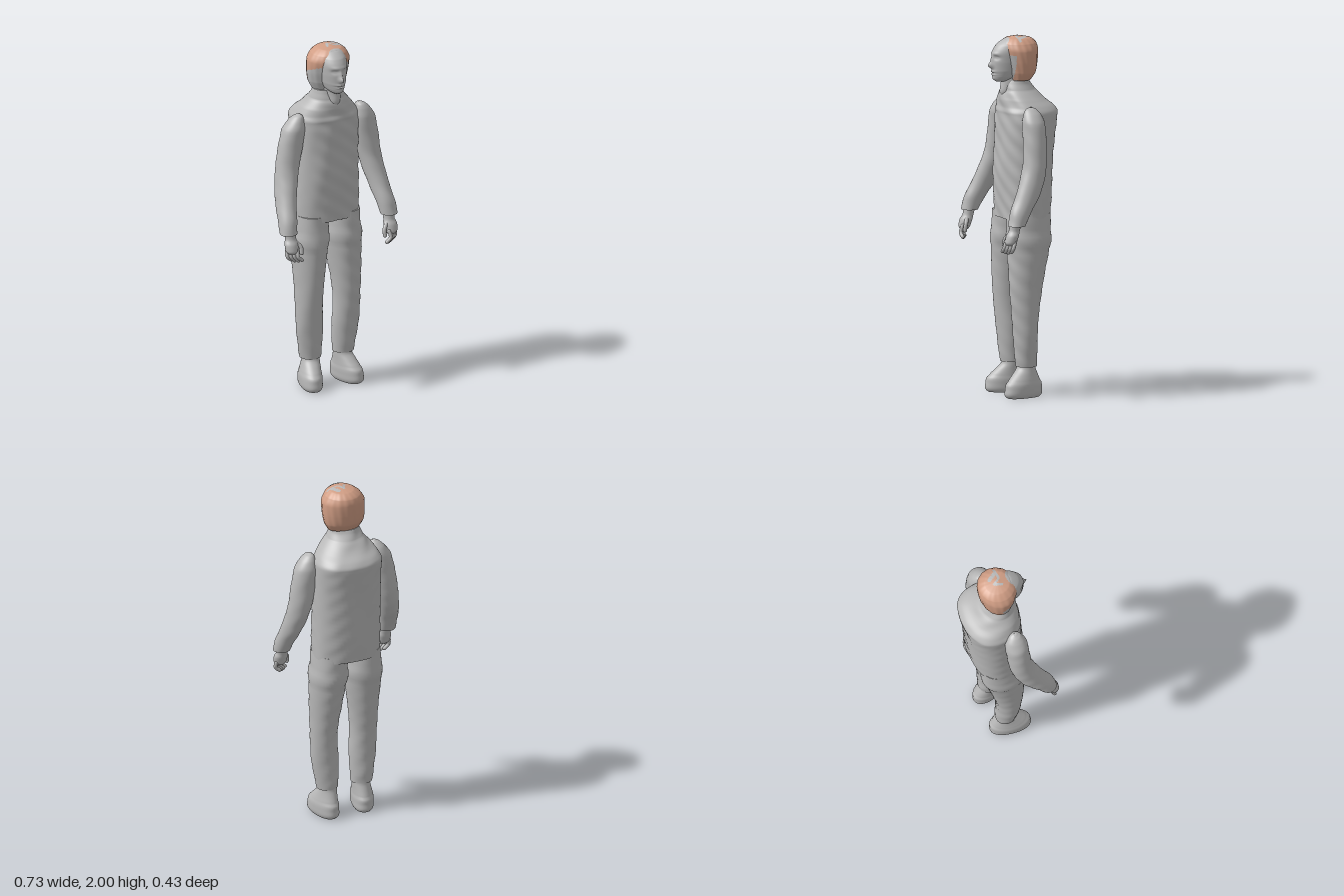
import * as THREE from 'three';

const grey = new THREE.MeshStandardMaterial({ color: 0xb8b8b8 });
grey.name = 'plain grey';
const tan = new THREE.MeshStandardMaterial({ color: 0xd09d84 });
tan.name = 'hair tan';

// Smooth body through horizontal sections [y, cx, cz, rx, rz, power], bottom to top.
// deform moves each vertex, pick chooses the material slot of each triangle.
function loft(name, sections, { n = 40, steps = 5, deform, pick } = {}) {
  const centres = new THREE.CatmullRomCurve3(sections.map(s => new THREE.Vector3(s[1], s[0], s[2])));
  const sizes = new THREE.CatmullRomCurve3(sections.map(s => new THREE.Vector3(s[3], s[4], s[5] ?? 2)));
  const rows = (sections.length - 1) * steps;
  const pts = [];
  for (let i = 0; i <= rows; i++) {
    const c = centres.getPoint(i / rows), r = sizes.getPoint(i / rows);
    for (let j = 0; j < n; j++) {
      const a = (j / n) * Math.PI * 2, s = Math.sin(a), k = Math.cos(a), e = 2 / r.z;
      const v = new THREE.Vector3(
        c.x + r.x * Math.sign(s) * Math.abs(s) ** e, c.y,
        c.z + r.y * Math.sign(k) * Math.abs(k) ** e);
      if (deform) deform(v, a);
      pts.push(v);
    }
  }
  const slots = [[], []];
  const tri = (a, b, c) => {
    const m = pts[a].clone().add(pts[b]).add(pts[c]).divideScalar(3);
    slots[pick ? pick(m) : 0].push(a, b, c);
  };
  for (let i = 0; i < rows; i++) {
    for (let j = 0; j < n; j++) {
      const k = (j + 1) % n, a = i * n + j, b = i * n + k;
      tri(a, b, a + n);
      tri(b, b + n, a + n);
    }
  }
  // End caps have their own rings so the hems stay sharp
  for (const [row, top] of [[0, false], [rows, true]]) {
    const ring = pts.slice(row * n, row * n + n);
    const base = pts.length;
    const mid = new THREE.Vector3();
    ring.forEach(p => { mid.addScaledVector(p, 1 / n); pts.push(p.clone()); });
    pts.push(mid);
    for (let j = 0; j < n; j++) {
      const a = base + j, b = base + (j + 1) % n;
      if (top) tri(a, b, base + n); else tri(b, a, base + n);
    }
  }
  const g = new THREE.BufferGeometry().setFromPoints(pts);
  g.setIndex([...slots[0], ...slots[1]]);
  g.addGroup(0, slots[0].length, 0);
  g.addGroup(slots[0].length, slots[1].length, 1);
  g.computeVertexNormals();
  const mesh = new THREE.Mesh(g, pick ? [grey, tan] : grey);
  mesh.name = name;
  return mesh;
}

// Soft cloth unevenness
const cloth = amount => v => {
  const w = Math.sin(v.x * 41 + v.y * 23) * Math.sin(v.y * 37 - v.z * 31) + 0.5 * Math.sin(v.y * 61 + v.x * 53);
  v.x += w * amount * 0.5;
  v.z += w * amount;
};

const bump = (x, y, sx, sy) => Math.exp(-((x / sx) ** 2) - (y / sy) ** 2);

// Brow, eyes, nose, lips and chin
function faceShape(v) {
  if (v.z < 0.06) return;
  const x = v.x - 0.01, y = v.y, ax = Math.abs(x);
  v.z += 0.024 * bump(x, y - 1.838, 0.013, 0.016) + 0.012 * bump(x, y - 1.868, 0.01, 0.025)
    - 0.011 * bump(ax - 0.03, y - 1.884, 0.017, 0.011)
    + 0.005 * bump(ax - 0.03, y - 1.883, 0.009, 0.005)
    + 0.005 * bump(ax - 0.025, y - 1.905, 0.025, 0.009)
    + 0.007 * bump(x, y - 1.806, 0.022, 0.006) + 0.006 * bump(x, y - 1.789, 0.02, 0.006)
    - 0.005 * bump(x, y - 1.797, 0.026, 0.003)
    + 0.005 * bump(x, y - 1.768, 0.018, 0.01);
}

// Distance in plan from a point to a streak
function streak(p, x1, z1, x2, z2) {
  const dx = x2 - x1, dz = z2 - z1;
  const t = THREE.MathUtils.clamp(((p.x - x1) * dx + (p.z - z1) * dz) / (dx * dx + dz * dz), 0, 1);
  return Math.hypot(p.x - x1 - t * dx, p.z - z1 - t * dz);
}

// Bare patches of the crown, forehead and side locks
function hairSlot(p) {
  if (p.y > 1.95) {
    if (streak(p, -0.003, 0.015, 0.015, -0.025) < 0.007) return 0;
    if (streak(p, 0.015, -0.025, 0.035, 0.012) < 0.006) return 0;
    if (streak(p, 0.05, -0.035, 0.075, 0.012) < 0.011) return 0;
    if (streak(p, 0.04, 0.015, 0.095, 0.015) < 0.007) return 0;
  }
  if (Math.hypot((p.x - 0.018) / 0.045, (p.z - 0.08) / 0.027) < 1) return 0;
  if (p.x < 0 && p.y < 1.87 + p.z * 0.4 && p.z > -0.035 + 0.012 * Math.sin(p.y * 90)) return 0;
  if (p.x > 0 && p.y < 1.9 && p.z > 0.045) return 0;
  return 1;
}

function finger(points, r) {
  const g = new THREE.Group();
  const curve = new THREE.CatmullRomCurve3(points.map(p => new THREE.Vector3(...p)));
  g.add(new THREE.Mesh(new THREE.TubeGeometry(curve, 10, r, 10), grey));
  for (const t of [0, 1]) {
    const end = new THREE.Mesh(new THREE.SphereGeometry(r, 10, 8), grey);
    end.position.copy(curve.getPoint(t));
    g.add(end);
  }
  g.name = 'finger';
  return g;
}

function arm(s) {
  const shift = s > 0 ? 0.03 : 0;
  const g = new THREE.Group();
  g.name = s > 0 ? 'leftArm' : 'rightArm';
  g.add(loft('sleeve', [
    [0.99, 0.317, 0.137, 0.049, 0.047], [1.06, 0.308, 0.11, 0.052, 0.06],
    [1.15, 0.29, 0.06, 0.056, 0.068], [1.23, 0.272, 0.028, 0.061, 0.07],
    [1.32, 0.252, 0.005, 0.066, 0.066], [1.45, 0.225, -0.002, 0.07, 0.064],
    [1.54, 0.207, -0.002, 0.064, 0.064], [1.59, 0.192, 0, 0.044, 0.048],
    [1.615, 0.182, 0.003, 0.025, 0.03], [1.625, 0.178, 0.003, 0.008, 0.01],
  ].map(([y, x, ...r]) => [y, s * (x + shift * THREE.MathUtils.clamp((y - 1.1) / 0.5, 0, 1)), ...r]),
  { deform: cloth(0.0015) }));
  // Hand
  const hand = new THREE.Group();
  hand.name = 'hand';
  hand.add(loft('palm', [
    [0.885, s * 0.31, 0.172, 0.026, 0.022], [0.9, s * 0.312, 0.17, 0.036, 0.032],
    [0.935, s * 0.312, 0.16, 0.039, 0.034], [0.965, s * 0.31, 0.148, 0.031, 0.03],
    [1.0, s * 0.312, 0.14, 0.033, 0.032],
  ], { n: 24 }));
  for (let k = 0; k < 4; k++) {
    const x = 0.338 - 0.016 * k, z = 0.155 + 0.011 * k;
    hand.add(finger([[s * x, 0.905, z], [s * (x + 0.002), 0.868, z + 0.012],
      [s * (x - 0.022), 0.84 + 0.004 * Math.abs(k - 1.5), z + 0.012]], 0.0105));
  }
  hand.add(finger([[s * 0.288, 0.945, 0.165], [s * 0.264, 0.915, 0.182], [s * 0.263, 0.882, 0.188]], 0.0115));
  g.add(hand);
  return g;
}

function leg(s) {
  const shift = s > 0 ? 0.015 : 0;
  const g = new THREE.Group();
  g.name = s > 0 ? 'leftLeg' : 'rightLeg';
  const side = list => list.map(([y, x, ...r]) => [y, s * (x + shift), ...r]);
  g.add(loft('trouserLeg', side([
    [0.17, 0.095, -0.012, 0.06, 0.058], [0.22, 0.098, -0.01, 0.066, 0.062],
    [0.34, 0.106, -0.003, 0.077, 0.066], [0.48, 0.111, 0, 0.076, 0.077],
    [0.6, 0.108, -0.005, 0.081, 0.092], [0.72, 0.103, -0.014, 0.092, 0.107],
    [0.82, 0.098, -0.022, 0.1, 0.12], [0.92, 0.094, -0.028, 0.098, 0.125, 2.2],
    [1.02, 0.092, -0.03, 0.092, 0.122, 2.2],
  ]), { deform: cloth(0.0018) }));
  // Shoe, with the toe turned outward
  const turn = s * 0.22, ax = s * (0.1 + shift);
  g.add(loft('shoe', side([
    [0, 0.106, 0.012, 0.05, 0.1, 2.3], [0.012, 0.106, 0.012, 0.057, 0.113, 2.3],
    [0.05, 0.106, 0.011, 0.061, 0.115, 2.2], [0.09, 0.104, 0.006, 0.058, 0.102],
    [0.125, 0.1, -0.004, 0.053, 0.078], [0.16, 0.096, -0.014, 0.049, 0.054],
    [0.2, 0.095, -0.014, 0.047, 0.047],
  ]), {
    deform(v) {
      const x = v.x - ax, z = v.z;
      v.x = ax + x * Math.cos(turn) + z * Math.sin(turn);
      v.z = z * Math.cos(turn) - x * Math.sin(turn);
    },
  }));
  return g;
}

export function createModel() {
  const model = new THREE.Group();
  model.name = 'standingFigure';

  // Jacket
  model.add(loft('jacket', [
    [0.99, 0.008, -0.035, 0.192, 0.136, 2.4], [1.1, 0.008, -0.036, 0.192, 0.142, 2.4],
    [1.25, 0.009, -0.037, 0.19, 0.148, 2.4], [1.4, 0.01, -0.045, 0.19, 0.15, 2.4],
    [1.52, 0.011, -0.053, 0.191, 0.156, 2.4], [1.575, 0.011, -0.058, 0.191, 0.158, 2.4],
    [1.61, 0.01, -0.053, 0.176, 0.148, 2.3], [1.65, 0.007, -0.028, 0.146, 0.124, 2.2],
    [1.7, 0.005, -0.01, 0.102, 0.094], [1.735, 0.003, -0.002, 0.088, 0.077], [1.755, 0.003, 0, 0.083, 0.07],
  ], { n: 64, steps: 7, deform: cloth(0.0025) }));

  for (const s of [-1, 1]) model.add(arm(s), leg(s));

  // Neck, head and hair
  model.add(loft('neck', [
    [1.64, 0.01, 0.035, 0.03, 0.045], [1.69, 0.01, 0.035, 0.044, 0.064],
    [1.74, 0.01, 0.025, 0.052, 0.066], [1.81, 0.01, 0.015, 0.056, 0.07],
  ]));
  model.add(loft('head', [
    [1.748, 0.01, 0.09, 0.02, 0.032], [1.757, 0.01, 0.08, 0.036, 0.055],
    [1.777, 0.01, 0.052, 0.054, 0.09], [1.81, 0.01, 0.034, 0.068, 0.112],
    [1.86, 0.01, 0.026, 0.077, 0.12], [1.91, 0.011, 0.022, 0.081, 0.121],
    [1.95, 0.013, 0.014, 0.076, 0.107], [1.98, 0.015, 0.004, 0.054, 0.075], [1.994, 0.016, 0, 0.015, 0.02],
  ], { n: 96, steps: 10, deform: faceShape }));
  model.add(loft('hair', [
    [1.757, 0.01, -0.01, 0.094, 0.062], [1.8, 0.012, -0.016, 0.114, 0.084],
    [1.86, 0.013, -0.013, 0.122, 0.097], [1.92, 0.014, -0.008, 0.121, 0.106],
    [1.96, 0.016, -0.006, 0.1, 0.1], [1.986, 0.019, -0.004, 0.067, 0.07], [2, 0.02, 0, 0.008, 0.008],
  ], {
    n: 120, steps: 12, pick: hairSlot,
    deform(v, a) {
      const k = 1 + 0.008 * Math.sin(a * 17 + v.y * 20);
      v.x *= k;
      v.z *= k;
    },
  }));
  return model;
}
